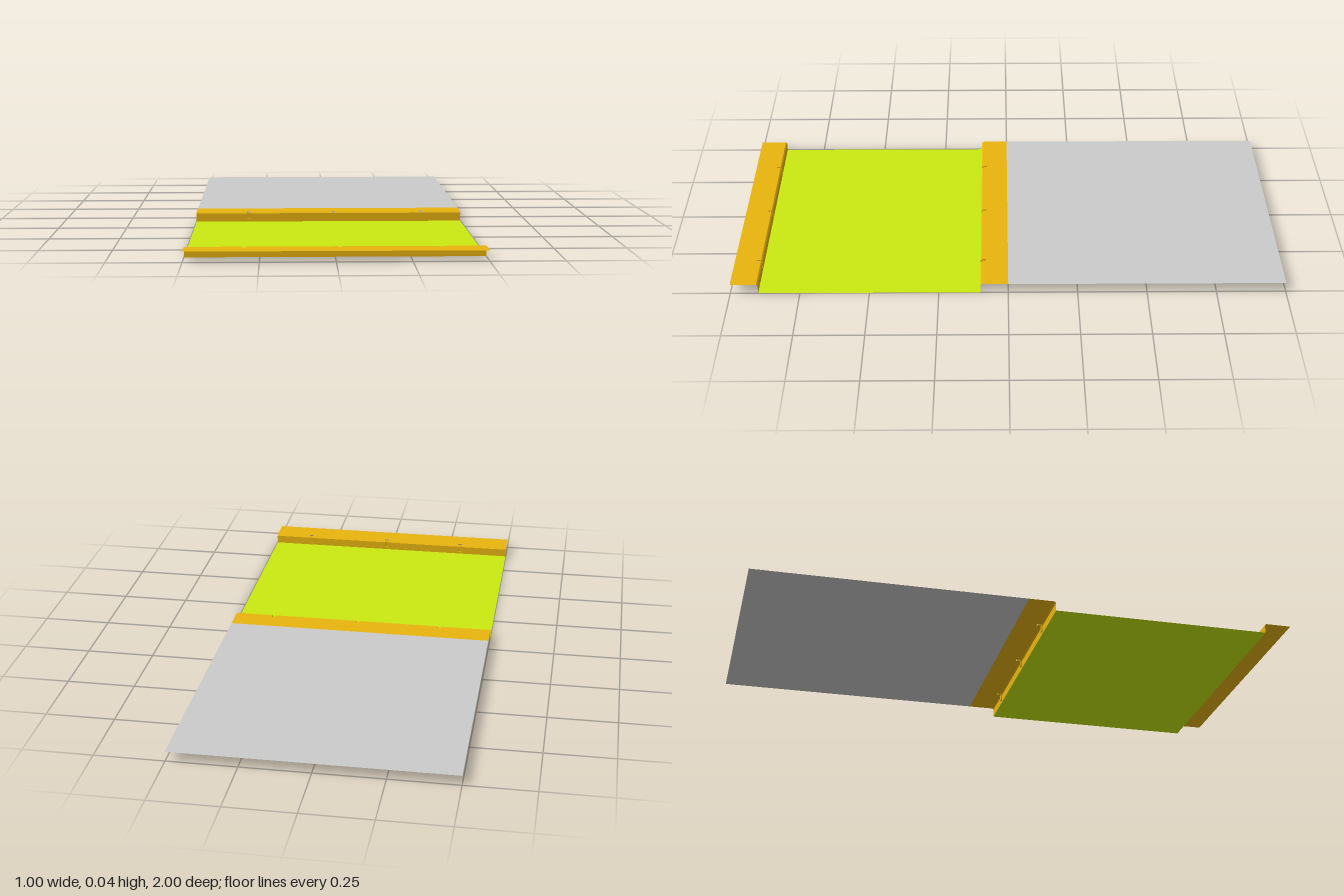
import * as THREE from 'three';
import { mergeGeometries } from 'three/addons/utils/BufferGeometryUtils.js';

const HALF = 0.5;       // half width of the road section
const TOP = 0.036;      // height of the raised ground
const material = (color) => new THREE.MeshStandardMaterial({ color, side: THREE.DoubleSide, flatShading: true });

// Sweeps a [z, y] profile along x from x0 to x1 as flat strips
function sweep(profile, x0, x1) {
  const strips = [];
  for (let i = 0; i < profile.length - 1; i++) {
    const [za, ya] = profile[i], [zb, yb] = profile[i + 1];
    strips.push(facet([[x0, ya, za], [x0, yb, zb], [x1, yb, zb], [x1, ya, za]]));
  }
  return mergeGeometries(strips);
}

// One flat polygon from its corners, as a fan
function facet(corners) {
  const pos = [];
  for (let i = 1; i < corners.length - 1; i++) pos.push(...corners[0], ...corners[i], ...corners[i + 1]);
  const g = new THREE.BufferGeometry();
  g.setAttribute('position', new THREE.Float32BufferAttribute(pos, 3));
  g.computeVertexNormals();
  return g;
}

function named(geometry, color, name) {
  const m = new THREE.Mesh(geometry, material(color));
  m.name = name;
  return m;
}

// Kerb running along x; its face looks towards +z, or -z when mirrored
function kerbGeometry(mirrored) {
  const place = (pts) => {
    const out = pts.map(([z, y]) => [mirrored ? 1 - z : z, y]);
    return mirrored ? out.reverse() : out;
  };
  const low = TOP - 0.005;
  const lip = place([[0.08, TOP], [0.095, TOP], [0.1, low], [0.1, 0.01], [0.1, 0]]);
  const groove = place([[0.08, low], [0.095, low], [0.095, 0.01], [0.1, 0.01], [0.1, 0]]);
  const parts = [sweep(place([[0, TOP], [0.08, TOP]]), -HALF, HALF)];

  // Stones between the joints, with the recessed joint and its two sides
  const joints = [-0.302, 0.017, 0.35];
  const w = 0.007;
  let start = -HALF;
  for (const x of joints) {
    parts.push(sweep(lip, start, x - w), sweep(groove, x - w, x + w));
    for (const side of [-w, w]) {
      const at = (pts) => facet(place(pts).map(([z, y]) => [x + side, y, z]));
      parts.push(at([[0.08, TOP], [0.095, TOP], [0.095, low], [0.08, low]]));
      parts.push(at([[0.095, TOP], [0.1, low], [0.1, 0.01], [0.095, 0.01]]));
    }
    start = x + w;
  }
  parts.push(sweep(lip, start, HALF));
  return mergeGeometries(parts);
}

export function createModel() {
  const group = new THREE.Group();
  group.name = 'roadSection';
  group.add(
    named(sweep([[-1, TOP], [0, TOP]], -HALF, HALF), 0xcccccc, 'pavement'),
    named(sweep([[0.1, 0], [0.9, 0]], -HALF, HALF), 0xcaea10, 'roadSurface'),
    named(kerbGeometry(false), 0xe8b40e, 'innerKerb'),
    named(kerbGeometry(true), 0xe8b40e, 'outerKerb'),
  );
  // Turn every sheet's facing side upwards
  group.traverse((o) => {
    if (!o.isMesh) return;
    const p = o.geometry.attributes.position, n = o.geometry.attributes.normal;
    for (let i = 0; i < p.count; i += 3) {
      if (n.getY(i) > -0.5) continue;
      const b = new THREE.Vector3().fromBufferAttribute(p, i + 1);
      p.setXYZ(i + 1, p.getX(i + 2), p.getY(i + 2), p.getZ(i + 2));
      p.setXYZ(i + 2, b.x, b.y, b.z);
    }
    o.geometry.computeVertexNormals();
  });
  return group;
}
